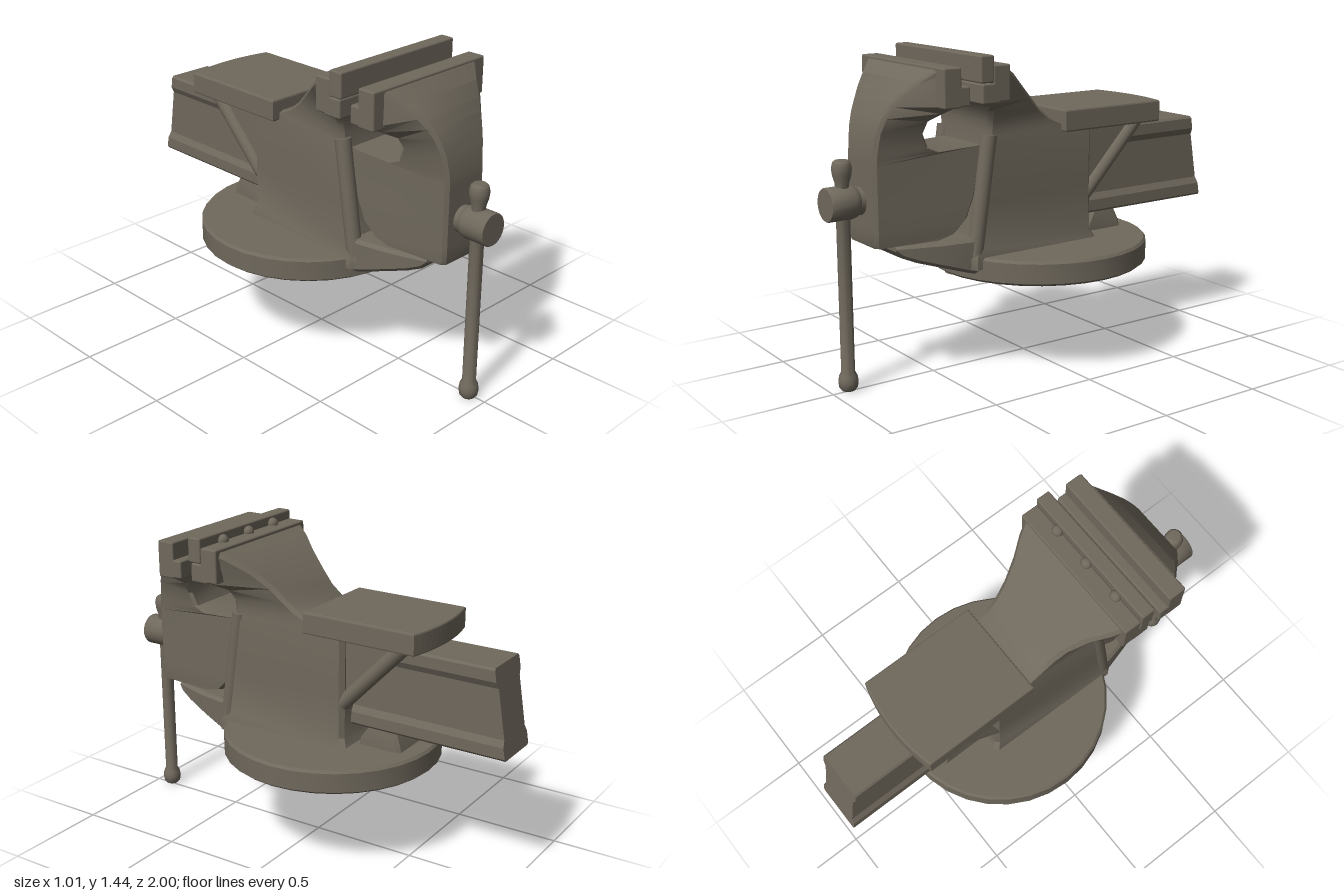
import * as THREE from 'three';
import { toCreasedNormals } from 'three/addons/utils/BufferGeometryUtils.js';
import { RoundedBoxGeometry } from 'three/addons/geometries/RoundedBoxGeometry.js';

// Loft through trapezoid sections: [z, y, halfWidth] of one side, then of the opposite side
function loft(sections, c = 0.02, crease = 0.6) {
  const pos = [], idx = [], n = 8;
  for (const [z0, y0, w0, z1, y1, w1] of sections) {
    const t = Math.min(0.4, c / Math.hypot(z1 - z0, y1 - y0));
    const put = (s, x) => pos.push(x, y0 + (y1 - y0) * s, z0 + (z1 - z0) * s);
    const wa = w0 + (w1 - w0) * t, wb = w1 + (w0 - w1) * t;
    put(0, -w0 + c); put(0, w0 - c); put(t, wa); put(1 - t, wb);
    put(1, w1 - c); put(1, -w1 + c); put(1 - t, -wb); put(t, -wa);
  }
  const last = (sections.length - 1) * n;
  for (let s = 0; s < last; s += n)
    for (let i = 0; i < n; i++) {
      const a = s + i, b = s + (i + 1) % n;
      idx.push(a, b, b + n, a, b + n, a + n);
    }
  for (let i = 1; i < n - 1; i++) idx.push(0, i + 1, i, last, last + i, last + i + 1);
  // turn the faces outward using the signed volume
  let volume = 0;
  const p = (i) => new THREE.Vector3().fromArray(pos, i * 3);
  for (let i = 0; i < idx.length; i += 3) volume += p(idx[i]).dot(p(idx[i + 1]).cross(p(idx[i + 2])));
  if (volume < 0) idx.reverse();
  const g = new THREE.BufferGeometry();
  g.setAttribute('position', new THREE.Float32BufferAttribute(pos, 3));
  g.setIndex(idx);
  return toCreasedNormals(g, crease);
}

const points = (list) => list.map(([a, b]) => new THREE.Vector2(a, b));

export function createModel() {
  const vise = new THREE.Group();
  vise.name = 'benchVise';
  const iron = new THREE.MeshStandardMaterial({ color: 0x6f685c });
  iron.name = 'castIron';

  const add = (name, geometry, x = 0, y = 0, z = 0) => {
    const mesh = new THREE.Mesh(geometry, iron);
    mesh.name = name;
    mesh.position.set(x, y, z);
    vise.add(mesh);
    return mesh;
  };
  const box = (name, w, y0, y1, z0, z1, r = 0.008) =>
    add(name, new RoundedBoxGeometry(w * 2, y1 - y0, z1 - z0, 2, r), 0, (y0 + y1) / 2, (z0 + z1) / 2);
  const lathe = (list, segments) =>
    toCreasedNormals(new THREE.LatheGeometry(points(list), segments), 0.6);
  const rod = (name, a, b, r) => {
    const A = new THREE.Vector3(...a), B = new THREE.Vector3(...b);
    const mesh = add(name, new THREE.CylinderGeometry(r, r, A.distanceTo(B), 14));
    mesh.position.copy(A).lerp(B, 0.5);
    mesh.quaternion.setFromUnitVectors(new THREE.Vector3(0, 1, 0), B.sub(A).normalize());
  };

  // Round base with a slightly hollow underside
  add('base', lathe([[0, 0.46], [0.25, 0.455], [0.45, 0.445], [0.49, 0.44], [0.505, 0.452],
    [0.505, 0.54], [0.495, 0.552], [0, 0.552]], 32), 0, 0, -0.08);
  add('baseBolt', new THREE.CylinderGeometry(0.06, 0.06, 0.06, 20), 0, 0.471, 0.36);

  // Fixed body: column, neck and flare to the rear jaw
  add('fixedBody', loft([
    [-0.26, 0.5, 0.21, 0.42, 0.5, 0.22],
    [-0.27, 0.55, 0.21, 0.42, 0.55, 0.22],
    [-0.25, 0.59, 0.19, 0.4, 0.59, 0.205],
    [-0.25, 0.8, 0.19, 0.37, 0.8, 0.205],
    [-0.25, 1.07, 0.19, 0.33, 1.04, 0.205],
    [-0.08, 1.1, 0.19, 0.327, 1.07, 0.2],
    [-0.02, 1.125, 0.19, 0.325, 1.1, 0.2],
    [0.04, 1.17, 0.195, 0.325, 1.14, 0.205],
    [0.1, 1.23, 0.21, 0.34, 1.19, 0.235],
    [0.18, 1.3, 0.245, 0.37, 1.225, 0.31],
    [0.25, 1.35, 0.295, 0.43, 1.25, 0.338],
    [0.32, 1.39, 0.335, 0.44, 1.3, 0.338],
  ]));
  for (const s of [-1, 1])
    rod('frontRim', [s * 0.177, 0.5, 0.395], [s * 0.177, 1.08, 0.308], 0.036);

  // Curved lip under the sliding jaw
  add('bodyLip', loft([
    [0.3, 0.64, 0.2, 0.3, 0.46, 0.2],
    [0.42, 0.64, 0.2, 0.42, 0.485, 0.2],
    [0.55, 0.637, 0.17, 0.55, 0.525, 0.17],
    [0.65, 0.637, 0.14, 0.65, 0.555, 0.14],
    [0.71, 0.637, 0.12, 0.71, 0.58, 0.12],
    [0.735, 0.63, 0.11, 0.735, 0.61, 0.11],
  ], 0.015));

  // Rear jaw with its gripping plate and screws
  box('rearJaw', 0.342, 1.245, 1.4, 0.31, 0.395);
  box('rearJawStep', 0.342, 1.24, 1.325, 0.36, 0.45);
  box('rearJawPlate', 0.346, 1.328, 1.442, 0.393, 0.46);
  for (const x of [-0.19, 0, 0.19]) {
    const screw = add('jawScrew', new THREE.SphereGeometry(0.027, 14, 10), x, 1.405, 0.383);
    screw.scale.z = 0.9;
  }

  // Anvil table with a bowed rear edge
  const table = new THREE.Shape();
  table.moveTo(-0.222, 0.078);
  table.lineTo(0.222, 0.078);
  table.lineTo(0.222, 0.612);
  table.quadraticCurveTo(0, 0.67, -0.222, 0.612);
  table.closePath();
  add('anvilTable', new THREE.ExtrudeGeometry(table, {
    depth: 0.084, bevelSize: 0.008, bevelThickness: 0.008, bevelSegments: 2, curveSegments: 12,
  }).rotateX(-Math.PI / 2), 0, 1.068, 0);

  // Triangular webs and diagonal ribs below the table
  const web = new THREE.Shape(points([[0.23, 0.74], [0.56, 1.07], [0.23, 1.07]]));
  for (const s of [-1, 1]) {
    add('tableWeb', new THREE.ExtrudeGeometry(web, { depth: 0.045, bevelEnabled: false })
      .rotateY(Math.PI / 2).translate(s > 0 ? 0.118 : -0.163, 0, 0));
    rod('diagonalRib', [s * 0.155, 0.75, -0.23], [s * 0.155, 1.075, -0.54], 0.035);
  }
  add('lockFoot', loft([
    [-0.5, 0.54, 0.11, -0.28, 0.54, 0.11],
    [-0.49, 0.58, 0.11, -0.29, 0.58, 0.11],
    [-0.465, 0.64, 0.1, -0.33, 0.64, 0.1],
  ], 0.015));

  // Sliding beam with flanged sides and a slanted rear end
  const half = [[0.108, 0.64], [0.116, 0.65], [0.116, 0.7], [0.1, 0.73], [0.1, 0.95],
    [0.116, 0.98], [0.116, 1.03], [0.108, 1.04]];
  const outline = new THREE.Shape(points([...half, ...half.map(([x, y]) => [-x, y]).reverse()]));
  const beam = new THREE.ExtrudeGeometry(outline, { depth: 1.3, bevelEnabled: false });
  const bp = beam.attributes.position;
  for (let i = 0; i < bp.count; i++)
    bp.setZ(i, bp.getZ(i) > 0.5 ? 0.3 : -1 + (bp.getY(i) - 0.64) * 0.17);
  beam.computeVertexNormals();
  add('slidingBeam', beam);

  // Sliding jaw: tapered block, curved arm and flare to the front jaw
  add('slidingJaw', loft([
    [0.835, 0.64, 0.115, 0.53, 0.64, 0.14],
    [0.84, 0.655, 0.118, 0.46, 0.66, 0.145],
    [0.84, 0.72, 0.118, 0.4, 0.72, 0.15],
    [0.84, 0.82, 0.118, 0.36, 0.82, 0.152],
    [0.84, 0.99, 0.118, 0.32, 1.035, 0.15],
    [0.84, 1.01, 0.118, 0.53, 1.025, 0.145],
    [0.835, 1.06, 0.12, 0.59, 1.05, 0.145],
    [0.825, 1.13, 0.13, 0.615, 1.11, 0.15],
    [0.805, 1.19, 0.145, 0.61, 1.165, 0.185],
    [0.78, 1.24, 0.16, 0.59, 1.205, 0.27],
    [0.75, 1.285, 0.185, 0.575, 1.235, 0.338],
    [0.7, 1.34, 0.225, 0.57, 1.3, 0.34],
    [0.64, 1.39, 0.28, 0.56, 1.385, 0.34],
  ], 0.015));
  box('frontJaw', 0.342, 1.235, 1.402, 0.55, 0.635);
  box('frontJawStep', 0.342, 1.24, 1.322, 0.508, 0.58);

  // Screw head and turning handle
  const head = add('screwHead', lathe([[0, -0.1], [0.06, -0.1], [0.06, 0.02], [0.068, 0.03],
    [0.073, 0.05], [0.073, 0.155], [0.07, 0.16], [0, 0.16]], 28), -0.012, 0.827, 0.84);
  head.rotation.x = Math.PI / 2;
  add('handle', lathe([[0, 0], [0.03, 0.002], [0.04, 0.015], [0.044, 0.04], [0.04, 0.065],
    [0.03, 0.085], [0.03, 0.91], [0.04, 0.945], [0.044, 0.975], [0.038, 1], [0.028, 1.009],
    [0, 1.011]], 20), -0.012, 0, 0.92);

  return vise;
}
